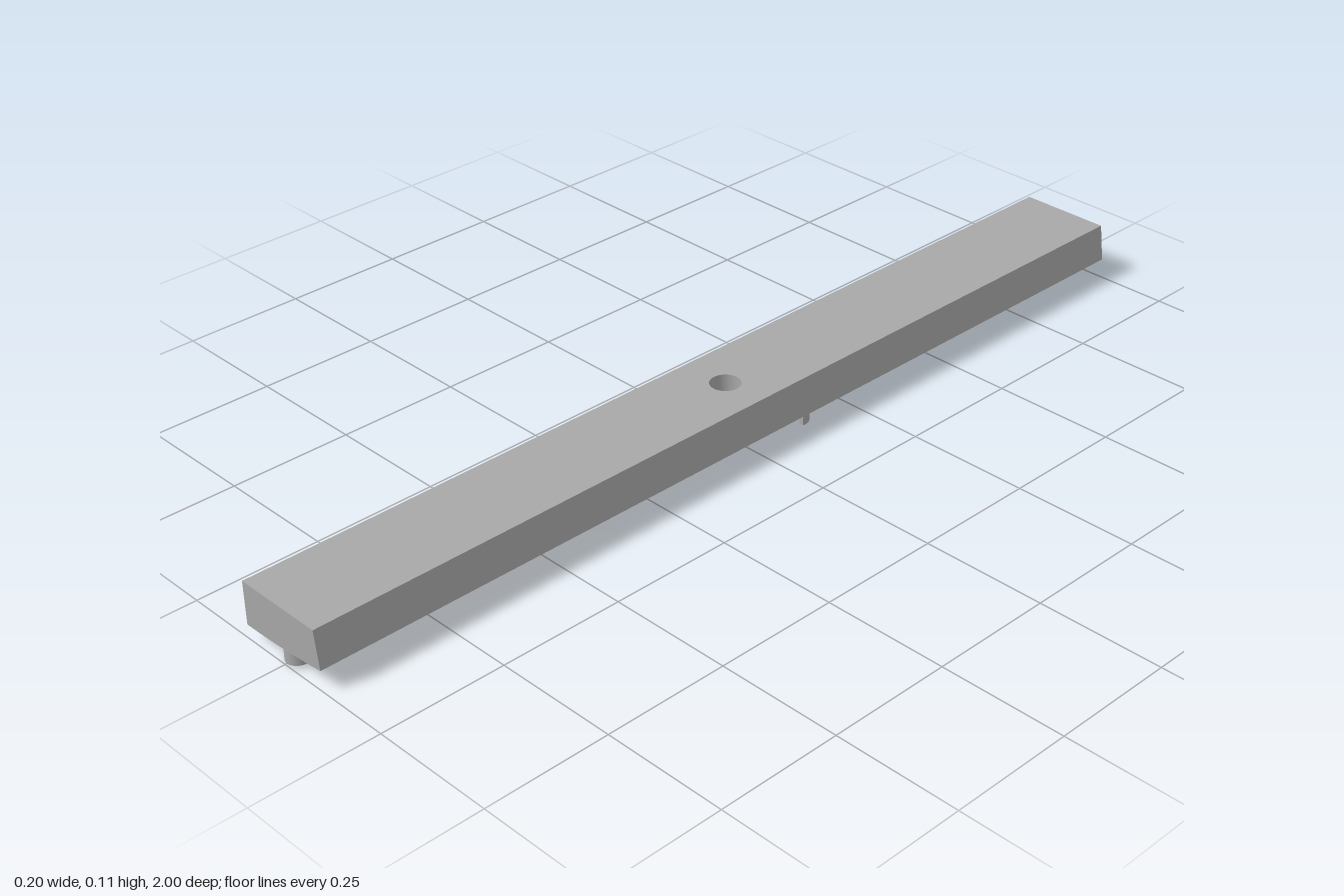
import * as THREE from 'three';

const grey = new THREE.MeshStandardMaterial({ color: 0xa8a8a8 });
grey.name = 'plain grey';

const TOP = 0.115, DEPTH = 0.028, HOLE = 0.03, MID = 0.05;
// Height of the gently curved underside across the width
const under = (x) => 0.0282 + 0.31 * (x + 0.1) ** 2;

function addMesh(group, geo, name) {
  geo.computeVertexNormals();
  const mesh = new THREE.Mesh(geo, grey);
  mesh.name = name;
  group.add(mesh);
}

// Extrudes a plan outline (x, z) downwards from y = 0
function extrudeDown(shape, depth) {
  const geo = new THREE.ExtrudeGeometry(shape, { depth, bevelEnabled: false, curveSegments: 24 });
  return geo.rotateX(Math.PI / 2);
}

// Raised detail whose ends follow the curve of the underside
function addRaised(group, shape, name) {
  const geo = extrudeDown(shape, DEPTH + 0.003);
  const p = geo.attributes.position;
  for (let i = 0; i < p.count; i++) p.setY(i, p.getY(i) + 0.003 + under(p.getX(i)));
  addMesh(group, geo, name);
}

function rectangle(x0, z0, x1, z1) {
  return new THREE.Shape([[x0, z0], [x1, z0], [x1, z1], [x0, z1]].map(([x, z]) => new THREE.Vector2(x, z)));
}

function ring(x, z, r, wall = 0.01) {
  const s = new THREE.Shape().absarc(x, z, r, 0, Math.PI * 2);
  s.holes.push(new THREE.Path().absarc(x, z, r - wall, 0, Math.PI * 2));
  return s;
}

// Arc wall, curved towards the back
function hook(x, z, r, wall = 0.011) {
  const a = -Math.PI * 1.05, b = Math.PI * 0.05;
  const s = new THREE.Shape().absarc(x, z, r, a, b, false);
  s.absarc(x, z, r - wall, b, a, true);
  return s;
}

export function createModel() {
  const group = new THREE.Group();
  group.name = 'bar';

  // Two long bar ends with a curved underside and one sloping side
  const profile = new THREE.Shape();
  profile.moveTo(0.09, TOP).lineTo(-0.1, TOP);
  for (let i = 0; i <= 12; i++) {
    const x = -0.1 + i * 0.2 / 12;
    profile.lineTo(x, under(x));
  }
  for (const side of [1, -1]) {
    const geo = new THREE.ExtrudeGeometry(profile, { depth: 1 - MID, bevelEnabled: false });
    geo.translate(0, 0, side > 0 ? MID : -1);
    addMesh(group, geo, side > 0 ? 'frontBar' : 'backBar');
  }

  // Middle section with the round through hole
  const plan = new THREE.Shape();
  plan.moveTo(-0.1, -MID);
  for (let i = 1; i <= 12; i++) plan.lineTo(-0.1 + i * 0.2 / 12, -MID);
  for (let i = 12; i >= 0; i--) plan.lineTo(-0.1 + i * 0.2 / 12, MID);
  plan.holes.push(new THREE.Path().absarc(0, 0, HOLE, 0, Math.PI * 2));
  const middle = extrudeDown(plan, 1);
  const p = middle.attributes.position;
  for (let i = 0; i < p.count; i++) {
    const x = p.getX(i);
    if (p.getY(i) > -0.5) {
      p.setY(i, TOP);
      if (x > 0.09) p.setX(i, 0.09);
    } else p.setY(i, under(x));
  }
  addMesh(group, middle, 'middleBar');

  // Straight ribs along the bar: x, start z, end z
  const W = 0.006;
  for (const [x, z0, z1] of [[0.048, 0.278, 0.476], [-0.06, 0.086, 0.225],
    [-0.07, -0.417, -0.278], [-0.012, -0.225, -0.125], [-0.078, -0.72, -0.62]]) {
    addRaised(group, rectangle(x - W, z0, x + W, z1), 'longRib');
  }

  // Straight ribs across the bar: z, start x, end x
  for (const [z, x0, x1] of [[0.674, -0.03, 0.05], [0.335, -0.065, 0.046], [-0.6, -0.08, 0.055]]) {
    addRaised(group, rectangle(x0, z - W, x1, z + W), 'crossRib');
  }

  // Round sockets: x, z, radius
  for (const [x, z, r] of [[0.005, 0.975, 0.024], [0.006, 0.378, 0.025], [-0.062, 0.378, 0.028],
    [0.012, -0.125, 0.025], [-0.06, -0.088, 0.028], [-0.033, -0.635, 0.027]]) {
    addRaised(group, ring(x, z, r), 'socket');
  }

  // Open curved walls: x, z, radius
  for (const [x, z, r] of [[-0.042, 0.05, 0.033], [0.022, -0.95, 0.033],
    [0.058, -0.122, 0.03], [0.029, -0.63, 0.034]]) {
    addRaised(group, hook(x, z, r), 'hookWall');
  }

  return group;
}
